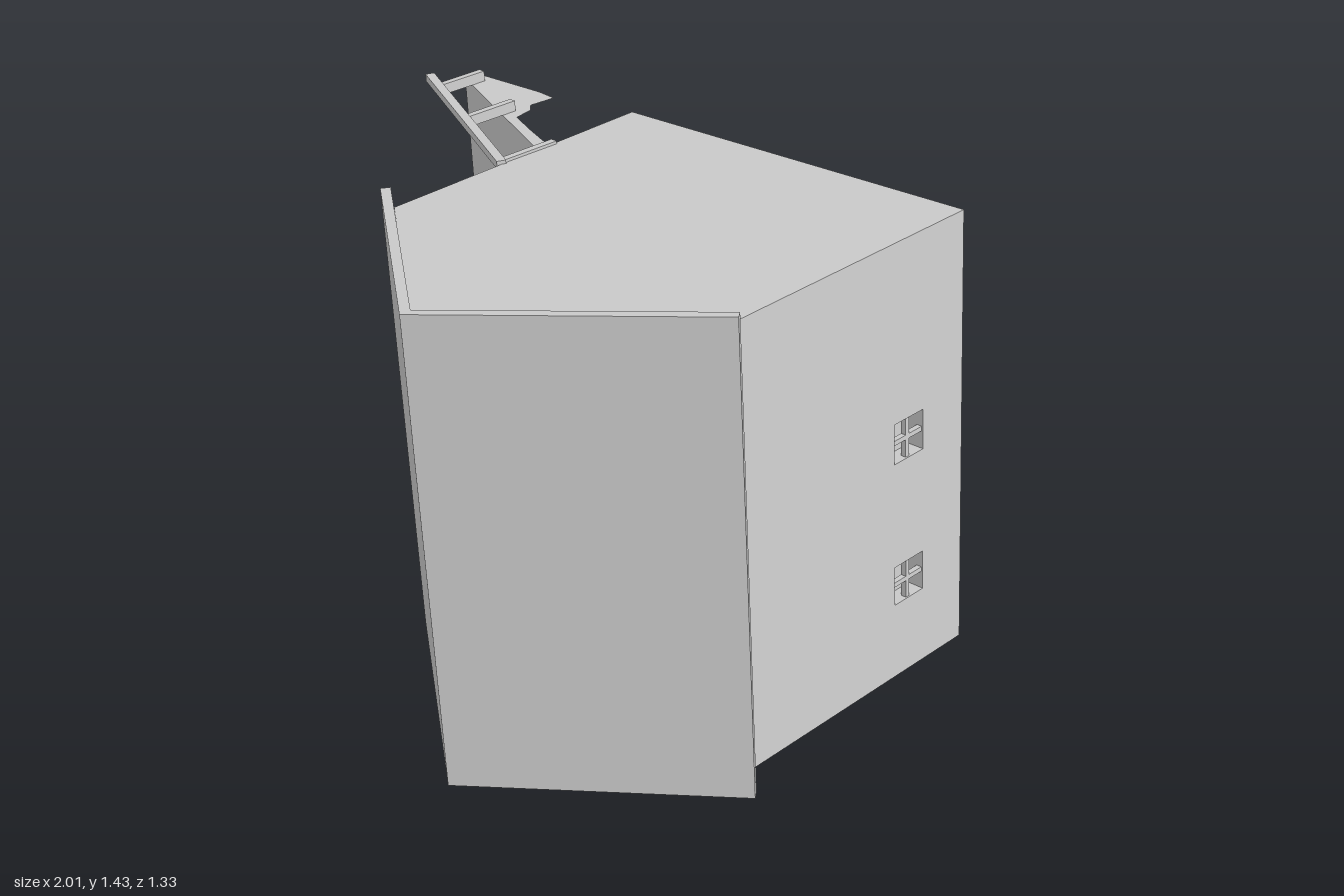
import * as THREE from 'three';

const mat = new THREE.MeshStandardMaterial({ color: 0xcccccc, side: THREE.DoubleSide, flatShading: true });

// Body half width, half length, open base, eaves and ridge heights (along z)
const HW = 0.573, HL = 0.613, BASE = -0.66, EAVE = 0.2, RIDGE = 0.637;
const WIN = 0.12;

function add(parent, name, geo) {
  const mesh = new THREE.Mesh(geo, mat);
  mesh.name = name;
  parent.add(mesh);
  return mesh;
}

const shapeOf = pts => new THREE.Shape(pts.map(p => new THREE.Vector2(...p)));

function cutWindow(shape, cx, cy) {
  const h = WIN / 2;
  shape.holes.push(new THREE.Path([[-h, -h], [-h, h], [h, h], [h, -h]]
    .map(([x, y]) => new THREE.Vector2(cx + x, cy + y))));
}

// Flat panels: outline given as (x, z) or as (z, y)
const panelXZ = shape => new THREE.ShapeGeometry(shape).rotateX(Math.PI / 2);
const panelZY = shape => new THREE.ShapeGeometry(shape).rotateY(-Math.PI / 2);

// Recessed window facing +z, sunk towards -z
function makeWindow() {
  const g = new THREE.Group();
  g.name = 'window';
  const depth = 0.05, t = 0.008;
  add(g, 'windowPane', new THREE.BoxGeometry(WIN, WIN, t)).position.z = -depth;
  for (const s of [-1, 1]) {
    add(g, 'windowReveal', new THREE.BoxGeometry(t, WIN, depth)).position.set(s * WIN / 2, 0, -depth / 2);
    add(g, 'windowReveal', new THREE.BoxGeometry(WIN, t, depth)).position.set(0, s * WIN / 2, -depth / 2);
  }
  add(g, 'windowBar', new THREE.BoxGeometry(0.013, WIN, 0.015)).position.z = -0.012;
  add(g, 'windowBar', new THREE.BoxGeometry(WIN, 0.013, 0.015)).position.z = -0.012;
  return g;
}

// Straight bar between two (x, z) points at height y
function beam(parent, name, [x1, z1], [x2, z2], y, width, thick) {
  const dx = x2 - x1, dz = z2 - z1;
  const m = add(parent, name, new THREE.BoxGeometry(Math.hypot(dx, dz), width, thick));
  m.position.set((x1 + x2) / 2, y, (z1 + z2) / 2);
  m.rotation.y = -Math.atan2(dz, dx);
  return m;
}

function makeBody() {
  const g = new THREE.Group();
  g.name = 'body';
  // Gable end walls, one with an attic window
  for (const s of [-1, 1]) {
    const gable = shapeOf([[-HW, BASE], [HW, BASE], [HW, EAVE], [0.01, RIDGE], [-HW, EAVE]]);
    if (s < 0) cutWindow(gable, 0, 0.34);
    add(g, 'gableWall', panelXZ(gable)).position.y = s * HL;
  }
  const attic = makeWindow();
  attic.rotation.x = Math.PI / 2;
  attic.position.set(0, -HL, 0.34);
  g.add(attic);
  // Long side walls, one with two windows
  for (const s of [-1, 1]) {
    const side = shapeOf([[BASE, -HL], [EAVE, -HL], [EAVE, HL], [BASE, HL]]);
    if (s > 0) {
      for (const y of [-0.34, 0.07]) {
        cutWindow(side, -0.45, y);
        const w = makeWindow();
        w.rotation.y = Math.PI / 2;
        w.position.set(HW, y, -0.45);
        g.add(w);
      }
    }
    add(g, 'sideWall', panelZY(side)).position.x = s * HW;
  }
  return g;
}

// Chevron roof overhanging both gables
function makeRoof() {
  const length = 1.306;
  const profile = shapeOf([[-0.623, 0.2], [-0.607, 0.178], [0.01, RIDGE], [0.607, 0.178], [0.623, 0.2], [0.01, 0.67]]);
  const geo = new THREE.ExtrudeGeometry(profile, { depth: length, bevelEnabled: false });
  geo.rotateX(Math.PI / 2).translate(0, length / 2, 0);
  const g = new THREE.Group();
  add(g, 'roof', geo);
  return g;
}

// Ramp with worn skirts and two handrails
function makeRamp() {
  const g = new THREE.Group();
  g.name = 'ramp';
  const deckZ = x => -0.33 + (x + HW) * 0.45;
  const railZ = x => -0.172 + (x + HW) * 0.5;
  const low = -1.215, mid = 0.335;
  beam(g, 'rampDeck', [low, deckZ(low)], [-HW, deckZ(-HW)], mid, 0.51, 0.015);
  beam(g, 'rampFoot', [low, deckZ(low)], [low + 0.01, BASE], mid, 0.51, 0.01);
  add(g, 'rampLanding', new THREE.BoxGeometry(0.03, 0.56, 0.06)).position.set(-HW + 0.01, 0.31, -0.35);

  const skirt = shapeOf([[low, deckZ(low)], [-HW, deckZ(-HW)], [-HW, -0.385], [-0.66, -0.4], [-0.76, -0.44],
    [-0.85, -0.48], [-0.86, -0.54], [-0.89, -0.57], [-0.88, -0.65], [-0.95, BASE], [low, BASE]]);
  for (const s of [-1, 1]) {
    add(g, 'rampSkirt', panelXZ(skirt)).position.y = mid + s * 0.255;
    const y = mid + s * 0.277;
    beam(g, 'handrail', [-1.26, railZ(-1.26)], [-HW, railZ(-HW)], y, 0.022, 0.026);
    for (const x of [-1.17, -0.91, -0.585]) {
      beam(g, 'railPost', [x, railZ(x)], [x + 0.01, deckZ(x) - 0.03], y - s * 0.006, 0.03, 0.022);
    }
  }
  return g;
}

export function createModel() {
  const model = new THREE.Group();
  model.name = 'house';
  // The whole house leans slightly to one side
  const lean = new THREE.Group();
  lean.name = 'leaningHouse';
  lean.rotation.z = THREE.MathUtils.degToRad(5.8);
  lean.position.set(0.3175, 0.7175, 0);
  lean.add(makeBody(), makeRoof(), makeRamp());
  model.add(lean);
  return model;
}
